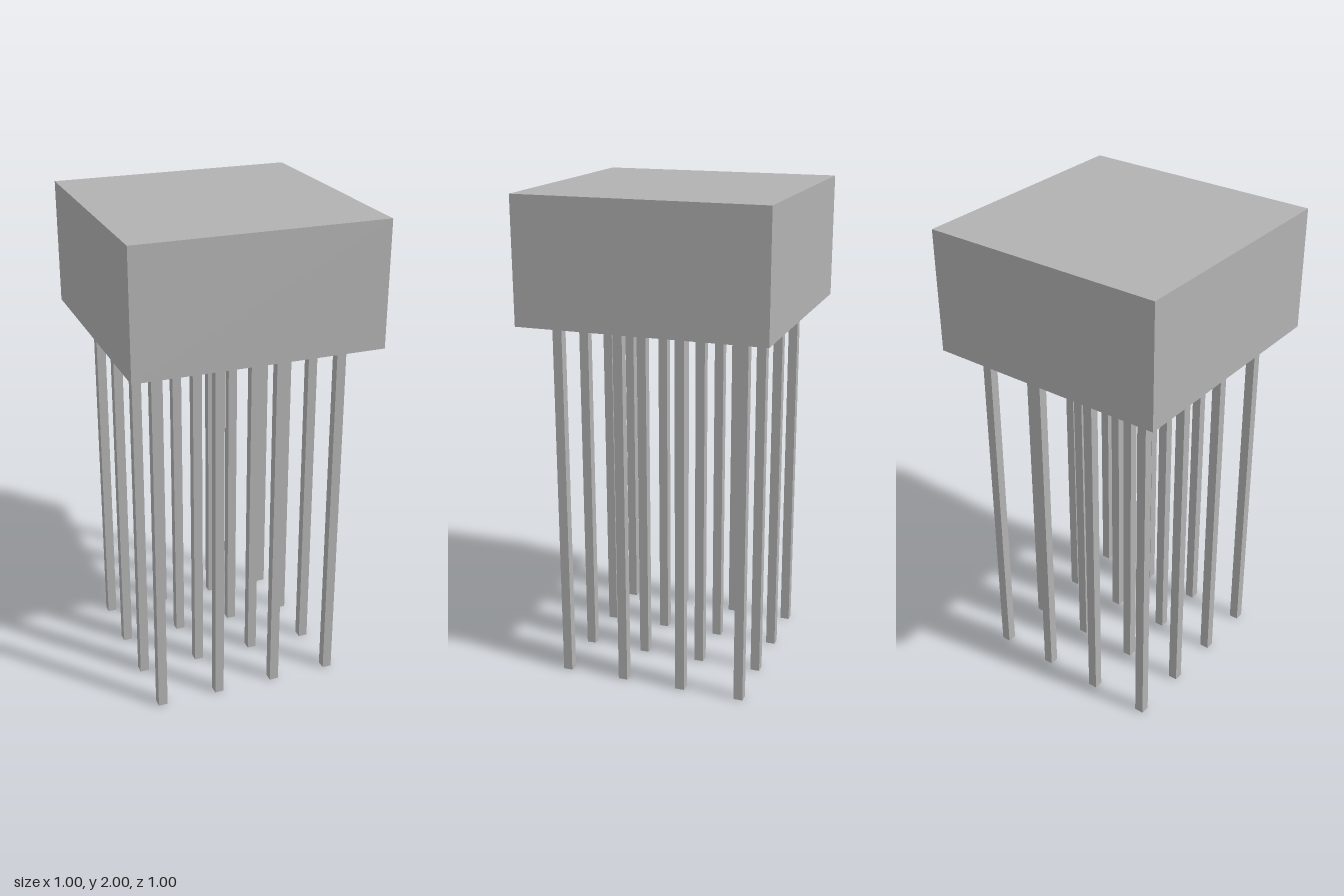
import * as THREE from 'three';

export function createModel() {
  const model = new THREE.Group();
  model.name = 'blockOnStilts';
  const grey = new THREE.MeshStandardMaterial({ color: 0xb2b2b2 });
  grey.name = 'grey';

  function box(name, w, h, d, x, y, z) {
    const mesh = new THREE.Mesh(new THREE.BoxGeometry(w, h, d), grey);
    mesh.name = name;
    mesh.position.set(x, y, z);
    return mesh;
  }

  // Solid block on top
  model.add(box('block', 1, 0.5, 1, 0, 1.75, 0));

  // Four by four grid of slender square stilts
  const stilts = new THREE.Group();
  stilts.name = 'stilts';
  const spots = [-0.375, -0.125, 0.125, 0.375];
  for (const x of spots) {
    for (const z of spots) stilts.add(box('stilt', 0.038, 1.5, 0.038, x, 0.75, z));
  }
  model.add(stilts);

  return model;
}
